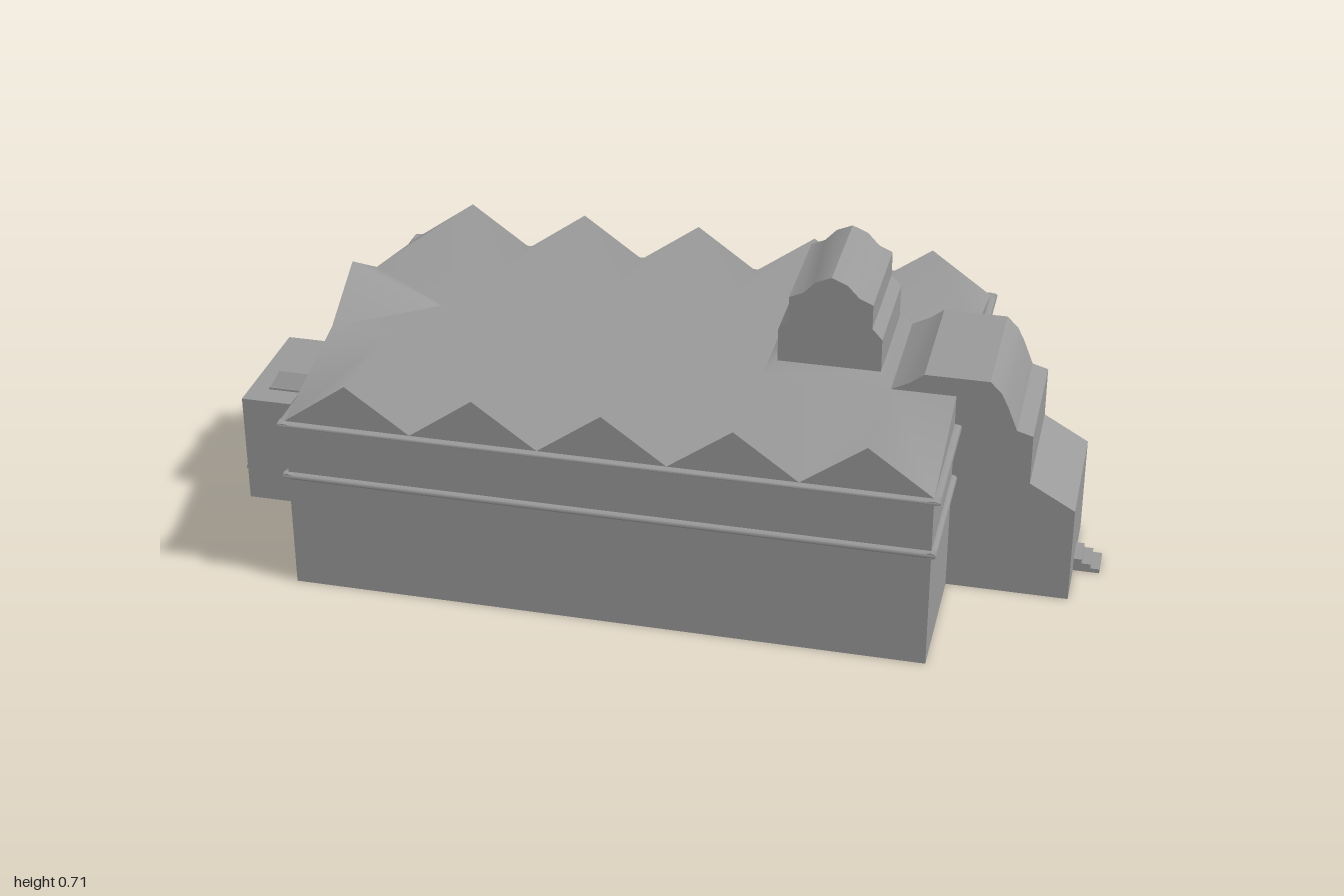
import * as THREE from 'three';
import { mergeVertices, toCreasedNormals } from 'three/addons/utils/BufferGeometryUtils.js';

const mat = new THREE.MeshStandardMaterial({ color: 0x999999, side: THREE.DoubleSide });

// hall extents, wing depth range, eave height and roof deck height
const X0 = -0.715, X1 = 0.675, ZB = -0.325, ZF = 0.6, WB = -0.015, WF = 0.29;
const EAVE = 0.405, DECK = 0.472, BELT = 0.272, MID = (WB + WF) / 2, CREASE = 0.6;

const V = (x, y, z) => new THREE.Vector3(x, y, z);

// collects triangles, turning each one to face a given direction
class Faces {
  constructor() { this.p = []; }
  tri(a, b, c, out) {
    const n = b.clone().sub(a).cross(c.clone().sub(a));
    const order = n.dot(out) < 0 ? [a, c, b] : [a, b, c];
    order.forEach(v => this.p.push(v.x, v.y, v.z));
  }
  quad(a, b, c, d, out) { this.tri(a, b, c, out); this.tri(a, c, d, out); }
  // vertical walls along a plan path that runs with its outside on the left
  walls(path, y0, y1) {
    for (let i = 0; i + 1 < path.length; i++) {
      const [ax, az] = path[i], [bx, bz] = path[i + 1];
      this.quad(V(ax, y0, az), V(bx, y0, bz), V(bx, y1, bz), V(ax, y1, az), V(bz - az, 0, ax - bx));
    }
  }
  geometry() {
    const g = new THREE.BufferGeometry();
    g.setAttribute('position', new THREE.Float32BufferAttribute(this.p, 3));
    return g;
  }
  mesh(name) {
    const g = this.geometry();
    g.computeVertexNormals();
    return named(g, name);
  }
  smoothMesh(name) {
    const g = mergeVertices(this.geometry());
    g.computeVertexNormals();
    return named(g, name);
  }
}

function named(geometry, name) {
  const m = new THREE.Mesh(geometry, mat);
  m.name = name;
  return m;
}

function box(x0, x1, y0, y1, z0, z1, name) {
  const g = new THREE.BoxGeometry(x1 - x0, y1 - y0, z1 - z0);
  g.translate((x0 + x1) / 2, (y0 + y1) / 2, (z0 + z1) / 2);
  return named(g, name);
}

// slim rounded moulding following a plan path
function moulding(path, y, height, reach, name) {
  const group = new THREE.Group();
  group.name = name;
  for (let i = 0; i + 1 < path.length; i++) {
    const a = V(path[i][0], y, path[i][1]), b = V(path[i + 1][0], y, path[i + 1][1]);
    const g = new THREE.CylinderGeometry(1, 1, a.distanceTo(b) + reach * 1.6, 8);
    g.rotateX(Math.PI / 2).scale(reach, height / 2, 1);
    const m = named(g, name + 'Length');
    m.position.copy(a).add(b).multiplyScalar(0.5);
    m.lookAt(b);
    group.add(m);
  }
  return group;
}

// softly shaded roof deck with five cross gables per long side and one on the left end
function buildRoof() {
  const top = new Faces(), ends = new Faces(), up = V(0, 1, 0), n = 5, step = (X1 - X0) / n;
  const valleys = Array.from({ length: n + 1 }, (_, i) => X0 + i * step);
  const peaks = valleys.slice(0, n).map(x => x + step / 2);
  const front = [X0, ...peaks, X1].map(x => V(x, DECK, WF));
  const back = valleys.map(x => V(x, DECK, WB));
  for (let i = 0; i < n; i++) {
    for (const [z, dir] of [[ZF, 1], [ZB, -1]]) {
      const a = V(valleys[i], EAVE, z), b = V(valleys[i + 1], EAVE, z), p = V(peaks[i], 0.505, z);
      ends.tri(a, b, p, V(0, 0, dir));
      if (dir > 0) {
        top.tri(a, p, front[i + 1], up);
        top.tri(b, p, front[i + 1], up);
      } else {
        top.tri(a, p, back[i], up);
        top.tri(b, p, back[i + 1], up);
        top.tri(p, back[i], back[i + 1], up);
      }
    }
    top.tri(back[i], back[i + 1], front[i + 1], up);
  }
  for (let i = 0; i <= n; i++) {
    top.tri(V(valleys[i], EAVE, ZF), front[i], front[i + 1], up);
    top.tri(front[i], front[i + 1], back[i], up);
  }
  // sloped plinth under the tower
  const [f0, f1, b1, b0] = [front[4], front[5], V(peaks[4], DECK, WB), V(peaks[3], DECK, WB)];
  const [t0, t1, t2, t3] = [[0.28, 0.275], [0.515, 0.275], [0.515, 0.002], [0.28, 0.002]].map(([x, z]) => V(x, 0.5, z));
  top.quad(t0, t1, t2, t3, up);
  top.quad(f0, f1, t1, t0, up);
  top.quad(f1, b1, t2, t1, up);
  top.quad(b0, f0, t0, t3, up);
  top.tri(b1, back[4], t2, up);
  top.tri(back[4], t3, t2, up);
  top.tri(back[4], b0, t3, up);
  // raised left gable
  const tip = V(X0, 0.56, MID), tail = V(-0.51, DECK, MID), out = V(-1, 0, 0);
  top.tri(front[0], tip, tail, up);
  top.tri(back[0], tip, tail, up);
  ends.tri(front[0], back[0], tip, out);
  ends.quad(V(X0, EAVE, ZF), front[0], back[0], V(X0, EAVE, ZB), out);
  // right end fills beside the entrance wing
  for (const [z, w] of [[ZF, WF], [ZB, WB]]) {
    ends.tri(V(X1, EAVE, z), V(X1, EAVE, w), V(X1, DECK, w), V(1, 0, 0));
  }
  return [top.smoothMesh('roof'), ends.mesh('gableEnds')];
}

// stepped entrance wing: a side profile swept across its width
function buildRightWing() {
  const f = new Faces();
  const profile = [[0.535, 0.472], [0.575, 0.492], [0.605, 0.515], [0.745, 0.515], [0.77, 0.49], [0.785, 0.46],
    [0.807, 0.405], [0.842, 0.395], [0.842, 0.28], [0.942, 0.223], [0.942, 0]];
  for (let i = 0; i + 1 < profile.length; i++) {
    const [ax, ay] = profile[i], [bx, by] = profile[i + 1];
    f.quad(V(ax, ay, WF), V(bx, by, WF), V(bx, by, WB), V(ax, ay, WB), V(ay - by, bx - ax, 0));
  }
  const outline = [...profile, [X1, 0], [X1, DECK]].map(([x, y]) => new THREE.Vector2(x, y));
  for (const [a, b, c] of THREE.ShapeUtils.triangulateShape(outline, [])) {
    for (const [z, dir] of [[WF, 1], [WB, -1]]) {
      const [p, q, r] = [a, b, c].map(i => V(outline[i].x, outline[i].y, z));
      f.tri(p, q, r, V(0, 0, dir));
    }
  }
  return named(toCreasedNormals(f.geometry(), CREASE), 'rightWing');
}

// tower with a stepped, peaked profile
function buildTower() {
  const half = [[0.112, 0.485], [0.112, 0.575], [0.09, 0.6], [0.09, 0.655], [0.06, 0.668], [0.035, 0.695]];
  const cx = 0.398;
  const pts = [...half.map(([x, y]) => [cx + x, y]), [cx, 0.71], ...half.slice().reverse().map(([x, y]) => [cx - x, y])];
  const shape = new THREE.Shape(pts.map(([x, y]) => new THREE.Vector2(x, y)));
  const g = new THREE.ExtrudeGeometry(shape, { depth: 0.262, bevelEnabled: false });
  g.translate(0, 0, 0.008);
  return named(toCreasedNormals(g, CREASE), 'tower');
}

// skylight on the left wing: a low curb and a tapered lid
function buildSkylight() {
  const group = new THREE.Group();
  group.name = 'skylight';
  group.add(box(-0.9, -0.767, 0.255, 0.265, 0.033, 0.235, 'skylightCurb'));
  const g = new THREE.CylinderGeometry(0.76, 1, 0.031, 4, 1);
  g.rotateY(Math.PI / 4).scale(0.0645 * Math.SQRT2, 1, 0.099 * Math.SQRT2);
  g.translate(-0.8335, 0.2805, 0.134);
  group.add(named(toCreasedNormals(g, CREASE), 'skylightLid'));
  return group;
}

export function createModel() {
  const model = new THREE.Group();
  model.name = 'hallBuilding';

  // hall walls, open where the right wing joins
  const AX0 = 0.125, AX1 = 0.532, AZ = -0.6, LX = -0.945;
  const hallFront = [[X0, WF], [X0, ZF], [X1, ZF], [X1, WF]];
  const hallBack = [[X1, WB], [X1, ZB], [AX1, ZB]];
  const annexPlan = [[AX1, ZB], [AX1, AZ], [AX0, AZ], [AX0, ZB]];
  const backLeft = [[AX0, ZB], [X0, ZB], [X0, WB]];
  const leftWing = [[X0, WB], [LX, WB], [LX, WF], [X0, WF]];
  const walls = new Faces();
  for (const path of [hallFront, hallBack, backLeft]) walls.walls(path, 0, EAVE);
  walls.walls([[AX1, ZB], [AX0, ZB]], BELT, EAVE);
  walls.walls([[X0, WB], [X0, WF]], 0.26, EAVE);
  model.add(walls.mesh('hallWalls'));

  // flat-topped annex and left wing
  for (const [plan, height, name] of [[annexPlan, 0.305, 'backAnnex'], [leftWing, 0.26, 'leftWing']]) {
    const f = new Faces();
    f.walls(plan, 0, height);
    f.quad(...plan.map(([x, z]) => V(x, height, z)), V(0, 1, 0));
    model.add(f.mesh(name));
  }

  model.add(...buildRoof(), buildRightWing(), buildTower(), buildSkylight());

  // belt course and eave moulding, both stopping at the right wing
  const belt = [...hallBack, ...annexPlan.slice(1), ...backLeft.slice(1), ...hallFront];
  const eave = [[X1, WB], [X1, ZB], [X0, ZB], [X0, ZF], [X1, ZF], [X1, WF]];
  model.add(moulding(belt, BELT, 0.015, 0.012, 'beltCourse'));
  model.add(moulding(eave, 0.4, 0.01, 0.016, 'eaveMoulding'));

  // three entrance steps at each end
  for (const side of [-1, 1]) {
    for (let i = 0; i < 3; i++) {
      const a = side * 0.94, b = side * (1 - i * 0.02);
      model.add(box(Math.min(a, b), Math.max(a, b), i * 0.01, (i + 1) * 0.01, 0.103, 0.172, 'entranceStep'));
    }
  }
  return model;
}
